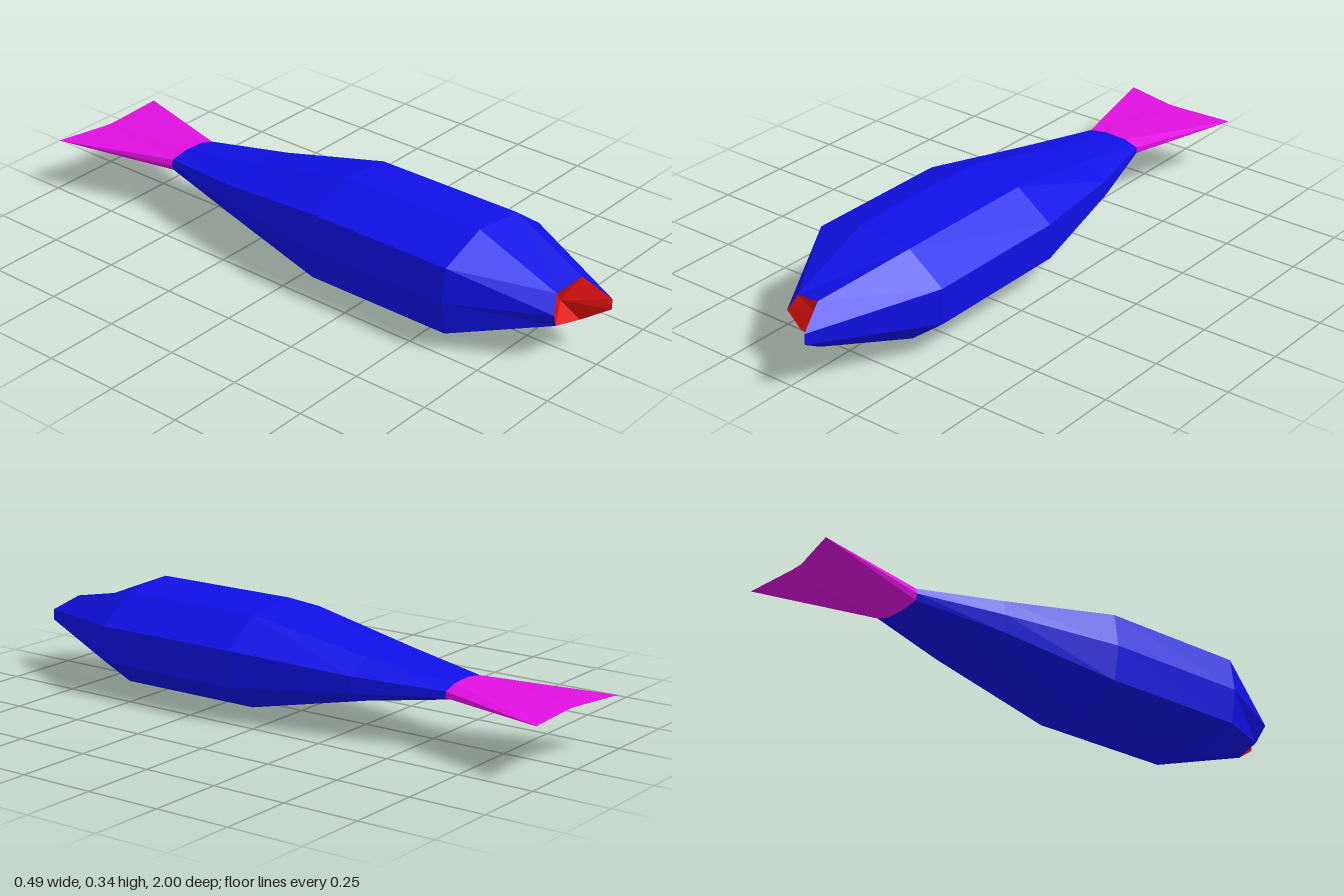
import * as THREE from 'three';

// Nine-sided body cross-section, clockwise seen from the front
const SECTION = [
  [-0.065, 0.343], [0.12, 0.323], [0.243, 0.233], [0.243, 0.116], [0.124, 0.024],
  [-0.062, 0.002], [-0.225, 0.06], [-0.244, 0.172], [-0.228, 0.283],
];
const MID_Y = 0.173;

// Scaled copy of the cross-section at depth z
const ring = (z, sx = 1, sy = 1, cx = 0) =>
  SECTION.map(([x, y]) => new THREE.Vector3(cx + x * sx, MID_Y + (y - MID_Y) * sy, z));

const points = (list) => list.map((p) => new THREE.Vector3(...p));

// Skin between rings listed front to back, skipping collapsed triangles
function loft(rings) {
  const tris = [];
  const add = (a, b, c) => {
    if (new THREE.Triangle(a, b, c).getArea() > 1e-7) tris.push(a, b, c);
  };
  for (let i = 0; i < rings.length - 1; i++) {
    const f = rings[i], r = rings[i + 1], n = f.length;
    for (let j = 0; j < n; j++) {
      const k = (j + 1) % n;
      add(f[j], f[k], r[k]);
      add(f[j], r[k], r[j]);
    }
  }
  return tris;
}

function part(name, color, tris) {
  const geometry = new THREE.BufferGeometry().setFromPoints(tris);
  geometry.computeVertexNormals();
  const material = new THREE.MeshStandardMaterial({ color, flatShading: true, side: THREE.DoubleSide });
  const mesh = new THREE.Mesh(geometry, material);
  mesh.name = name;
  return mesh;
}

export function createModel() {
  const fish = new THREE.Group();
  fish.name = 'fish';

  // Seven-cornered lip; two corners are doubled to meet the nine-sided body
  const lip = points([
    [-0.063, 0.231, 0.89], [0.034, 0.252, 0.91], [0.063, 0.196, 1], [0.063, 0.161, 1],
    [0.036, 0.103, 0.91], [-0.062, 0.12, 0.89], [-0.062, 0.12, 0.89],
    [-0.095, 0.176, 0.905], [-0.063, 0.231, 0.89],
  ]);
  const tailRoot = ring(-0.59, 0.4, 0.17, -0.022);

  // Body
  fish.add(part('body', 0x1010e6, loft([
    lip, ring(0.61), ring(0.1), ring(-0.3, 0.7, 0.46, -0.01), tailRoot,
  ])));

  // Recessed mouth
  const throat = new THREE.Vector3(-0.013, 0.177, 0.87);
  const mouth = [];
  lip.forEach((p, j) => {
    const q = lip[(j + 1) % lip.length];
    if (p.distanceTo(q) > 1e-6) mouth.push(throat, q, p);
  });
  fish.add(part('mouth', 0xe61010, mouth));

  // Tail fin, flattening to a forked edge
  const leftTip = [0.19, MID_Y, -0.97], rightTip = [-0.23, MID_Y, -1];
  const tailEnd = points([
    [-0.045, 0.175, -0.955], [0, 0.175, -0.955], leftTip, leftTip,
    [0, 0.171, -0.955], [-0.045, 0.171, -0.955], rightTip, rightTip, rightTip,
  ]);
  fish.add(part('tailFin', 0xe010e0, loft([tailRoot, tailEnd])));

  return fish;
}
